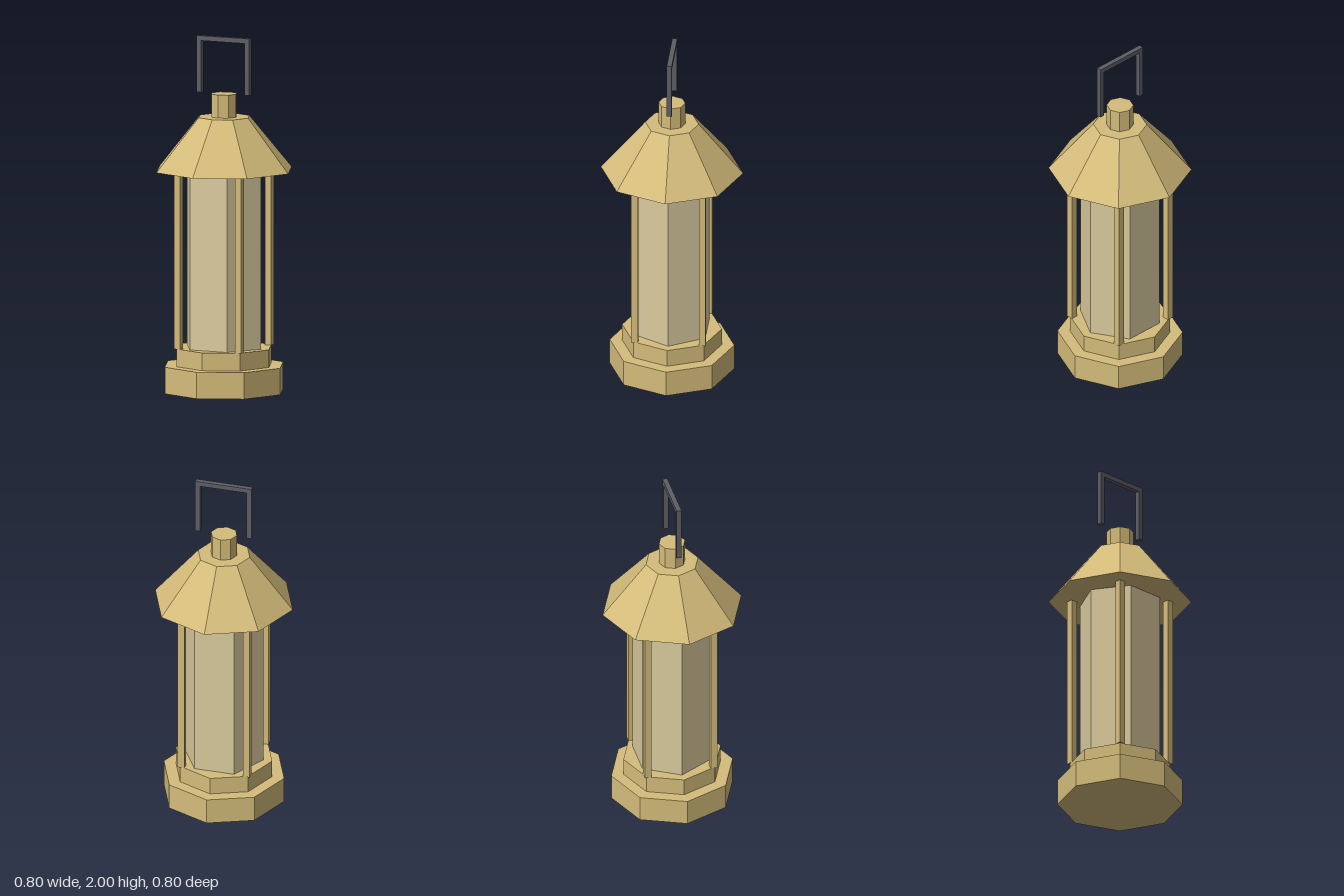
import * as THREE from 'three';

const mat = (name, color) => {
  const m = new THREE.MeshStandardMaterial({ color, flatShading: true });
  m.name = name;
  return m;
};

export function createModel() {
  const brass = mat('brass', 0xd4bc7a);
  const glass = mat('glass', 0xdacb9e);
  const iron = mat('iron', 0x5e5e66);
  const lantern = new THREE.Group();
  lantern.name = 'lantern';

  const add = (name, geometry, material, x, y, z) => {
    const mesh = new THREE.Mesh(geometry, material);
    mesh.name = name;
    mesh.position.set(x, y, z);
    lantern.add(mesh);
    return mesh;
  };
  // Faceted drum standing between two heights
  const drum = (name, rTop, rBottom, y0, y1, sides, material) =>
    add(name, new THREE.CylinderGeometry(rTop, rBottom, y1 - y0, sides), material, 0, (y0 + y1) / 2, 0);

  // Octagonal stepped base
  drum('base', 0.35, 0.35, 0, 0.15, 8, brass);
  drum('baseStep', 0.28, 0.28, 0.15, 0.25, 8, brass);

  // Six-sided glass with corners on the x axis
  drum('glassChamber', 0.23, 0.23, 0.25, 1.25, 6, glass).rotation.y = Math.PI / 6;

  // Four corner posts
  for (const x of [-0.19, 0.19])
    for (const z of [-0.19, 0.19])
      add('post', new THREE.BoxGeometry(0.038, 1, 0.038), brass, x, 0.75, z);

  // Sloped roof and chimney cap
  drum('roof', 0.15, 0.4, 1.25, 1.55, 8, brass);
  drum('cap', 0.075, 0.075, 1.55, 1.68, 8, brass);

  // Square carrying handle
  const t = 0.028, half = 0.164;
  add('handleBar', new THREE.BoxGeometry(half * 2, t, t), iron, 0, 2 - t / 2, 0);
  for (const s of [-1, 1])
    add('handleSide', new THREE.BoxGeometry(t, 0.32 - t, t), iron, s * (half - t / 2), 1.68 + (0.32 - t) / 2, 0);

  return lantern;
}
